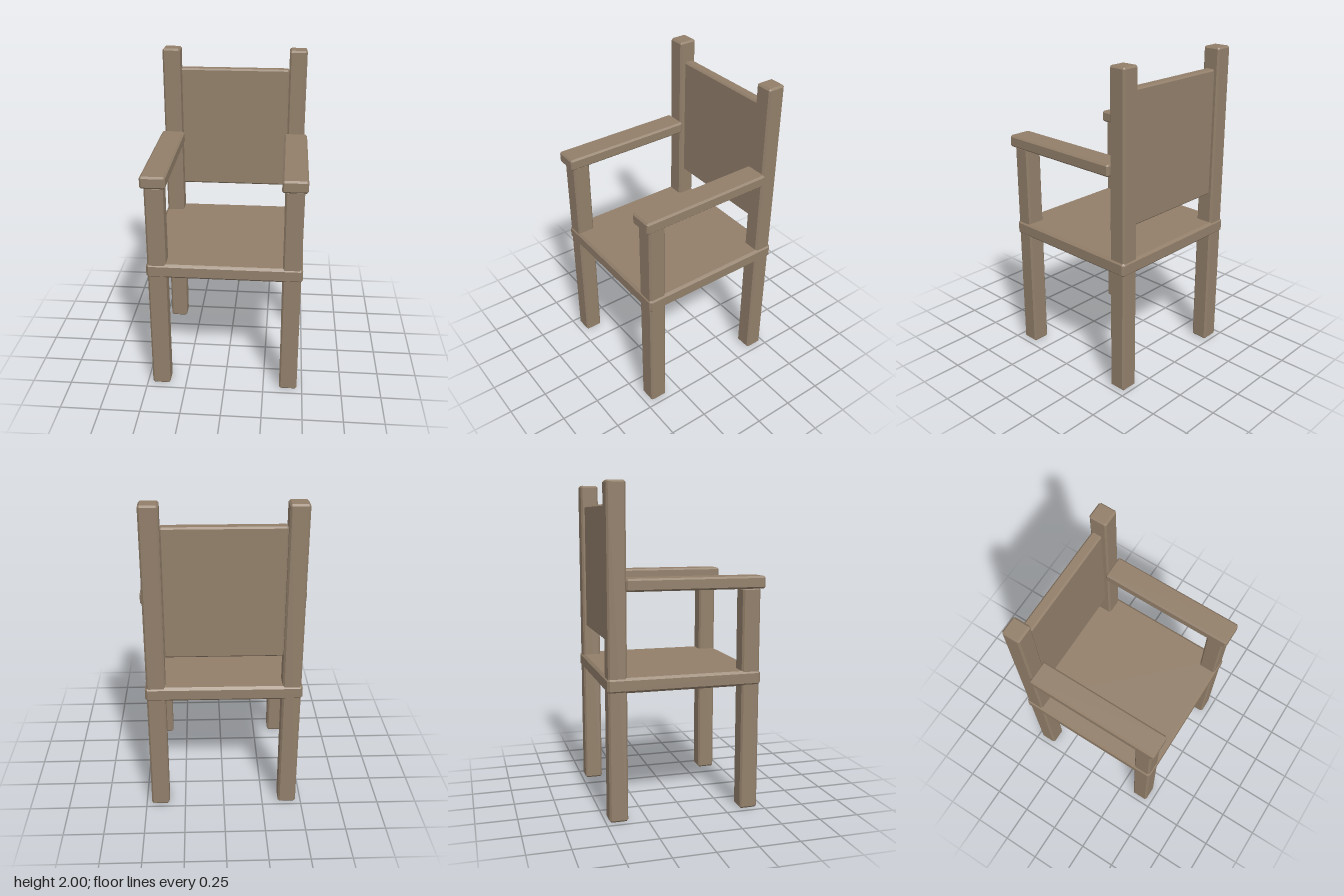
import * as THREE from 'three';
import { ConvexGeometry } from 'three/addons/geometries/ConvexGeometry.js';

// Box with flat chamfered edges, given by its min/max extents
function chamferBox([x0, x1], [y0, y1], [z0, z1], bevel) {
  const half = [(x1 - x0) / 2, (y1 - y0) / 2, (z1 - z0) / 2];
  const points = [];
  for (const sx of [-1, 1]) for (const sy of [-1, 1]) for (const sz of [-1, 1]) {
    for (let axis = 0; axis < 3; axis++) {
      const c = half.map((h, i) => (i === axis ? h : h - bevel));
      points.push(new THREE.Vector3(sx * c[0], sy * c[1], sz * c[2]));
    }
  }
  return new ConvexGeometry(points).translate((x0 + x1) / 2, (y0 + y1) / 2, (z0 + z1) / 2);
}

export function createModel() {
  const chair = new THREE.Group();
  chair.name = 'armchair';
  const wood = new THREE.MeshStandardMaterial({ color: 0x927f6a });
  wood.name = 'brown wood';

  const add = (name, x, y, z, bevel) => {
    const mesh = new THREE.Mesh(chamferBox(x, y, z, bevel), wood);
    mesh.name = name;
    chair.add(mesh);
  };

  // Seat and back panel
  add('seat', [-0.475, 0.475], [0.785, 0.876], [-0.485, 0.465], 0.015);
  add('backrest', [-0.354, 0.354], [1.07, 1.87], [-0.457, -0.393], 0.01);

  // Posts and armrests, mirrored on both sides
  for (const [side, s] of [['left', 1], ['right', -1]]) {
    const span = (a, b) => (s > 0 ? [a, b] : [-b, -a]);
    add(side + 'FrontLeg', span(0.353, 0.466), [0, 1.379], [0.347, 0.459], 0.011);
    add(side + 'BackPost', span(0.353, 0.466), [0, 2], [-0.478, -0.365], 0.011);
    add(side + 'Armrest', span(0.334, 0.485), [1.375, 1.45], [-0.372, 0.483], 0.011);
  }
  return chair;
}
